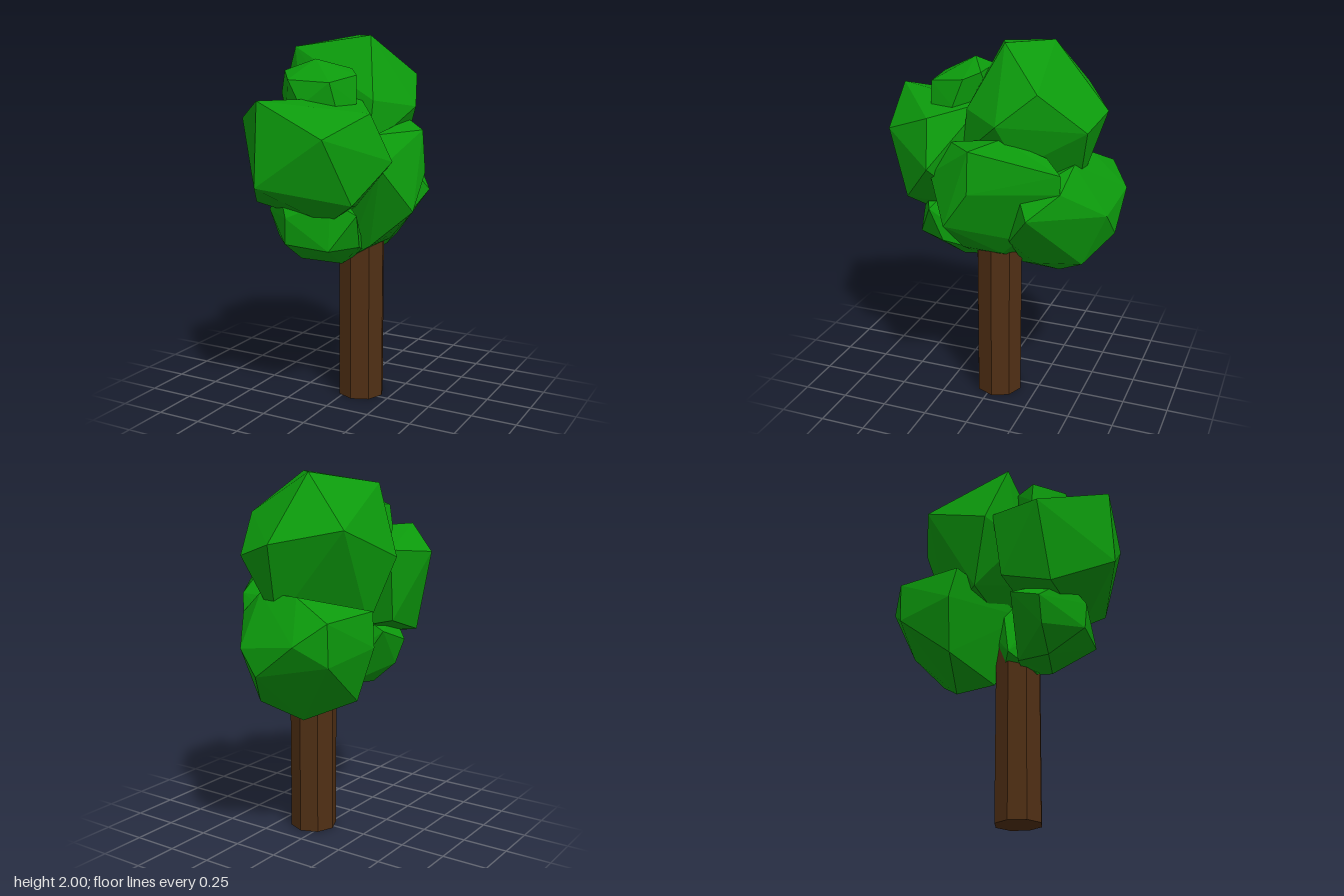
import * as THREE from 'three';
import { ConvexGeometry } from 'three/addons/geometries/ConvexGeometry.js';

// Each leaf clump is a faceted boulder shape, given by its corner points.
const clumps = {
  crownTop: [
    [0.1, 2, -0.07], [-0.08, 2, -0.28], [-0.28, 1.94, 0.075], [0.27, 1.79, -0.3],
    [0.35, 1.63, -0.11], [-0.05, 1.66, -0.58], [0.16, 1.59, -0.53], [-0.37, 1.73, -0.39],
    [-0.43, 1.57, 0.01], [-0.22, 1.5, 0.115], [0.2, 1.67, 0.1], [0.19, 1.42, 0.13],
    [0.25, 1.4, -0.2], [-0.33, 1.22, -0.1], [0, 1.25, -0.45], [0, 1.15, -0.1],
  ],
  crownFront: [
    [-0.17, 1.69, 0.63], [-0.18, 1.26, 0.65], [-0.46, 1.57, 0.33], [0.16, 1.51, 0.57],
    [0.385, 1.38, 0.25], [0.28, 1.62, 0.29], [0.25, 1.17, 0.43], [0.07, 1.05, 0.36],
    [-0.36, 1.13, 0.36], [-0.38, 1.6, 0.03], [0.1, 1.68, 0.05], [-0.37, 1.22, 0.08],
    [0.1, 1.1, 0.1],
  ],
  crownSide: [
    [0.44, 1.52, 0], [0.457, 1.3, 0], [0.45, 1.11, 0.135], [0.31, 1.27, -0.27],
    [0.22, 1.46, -0.34], [0.24, 1.38, -0.42], [0.24, 1.28, -0.42], [0.32, 1.34, 0.26],
    [0.3, 1.56, -0.13], [0.25, 1.5, 0.17], [0.27, 0.95, 0.06], [0.21, 0.9, -0.1],
    [0.2, 0.9, 0.13], [0.05, 0.81, 0.1], [0.05, 0.82, -0.12], [0.24, 1, -0.2],
    [-0.12, 0.9, 0], [0, 1.3, -0.1],
  ],
  crownBack: [
    [-0.25, 1.19, -0.65], [-0.02, 1.01, -0.65], [0.09, 1.14, -0.63], [-0.375, 1.3, -0.54],
    [-0.375, 1.08, -0.53], [-0.15, 1.4, -0.48], [0.1, 1.4, -0.45], [0.24, 1.28, -0.42],
    [-0.43, 1.13, -0.2], [-0.4, 1.31, -0.17], [-0.35, 0.845, -0.23], [-0.08, 0.72, -0.33],
    [0.07, 0.84, -0.5], [0.365, 1.16, -0.28], [0.3, 1.26, -0.22], [0.27, 1, -0.16],
    [0.12, 0.83, -0.25], [0, 0.77, -0.14], [0.1, 1.2, 0],
  ],
  crownLower: [
    [-0.33, 1.08, 0.28], [-0.28, 0.94, 0.27], [-0.13, 0.94, 0.45], [-0.15, 0.82, 0.25],
    [0.06, 0.8, 0.18], [0.11, 0.92, 0.42], [0.2, 0.92, 0.25], [-0.12, 1.08, 0.46],
    [-0.2, 1.2, 0.38], [0.1, 1.18, 0.38], [0.22, 1.1, 0.32], [0, 1.25, 0.2],
    [-0.3, 1.15, 0.1], [0.1, 0.84, 0], [-0.1, 0.84, 0.05],
  ],
  crownTuft: [
    [-0.1, 1.88, 0.17], [-0.26, 1.82, 0.22], [-0.28, 1.7, 0.22], [-0.18, 1.83, 0.09],
    [0.065, 1.83, 0.075], [0.13, 1.8, 0.15], [0.155, 1.66, 0.2], [0.08, 1.77, 0.35],
    [-0.15, 1.78, 0.37], [-0.06, 1.65, 0.4], [0.12, 1.62, 0.34], [-0.18, 1.62, 0.34],
    [-0.26, 1.5, 0.18], [0.1, 1.45, 0.2], [-0.06, 1.45, 0.36], [-0.06, 1.5, 0],
  ],
};

export function createModel() {
  const tree = new THREE.Group();
  tree.name = 'tree';
  const bark = new THREE.MeshStandardMaterial({ color: 0x502f14, flatShading: true });
  const leaf = new THREE.MeshStandardMaterial({ color: 0x0c9a0c, flatShading: true });

  // Trunk: straight eight-sided post, its top hidden in the leaves
  const trunk = new THREE.Mesh(new THREE.CylinderGeometry(0.13, 0.13, 1, 8), bark);
  trunk.position.set(0.07, 0.5, -0.03);
  trunk.name = 'trunk';
  tree.add(trunk);

  // Leaf clumps
  for (const [name, corners] of Object.entries(clumps)) {
    const points = corners.map((c) => new THREE.Vector3(...c));
    const clump = new THREE.Mesh(new ConvexGeometry(points), leaf);
    clump.name = name;
    tree.add(clump);
  }
  return tree;
}
